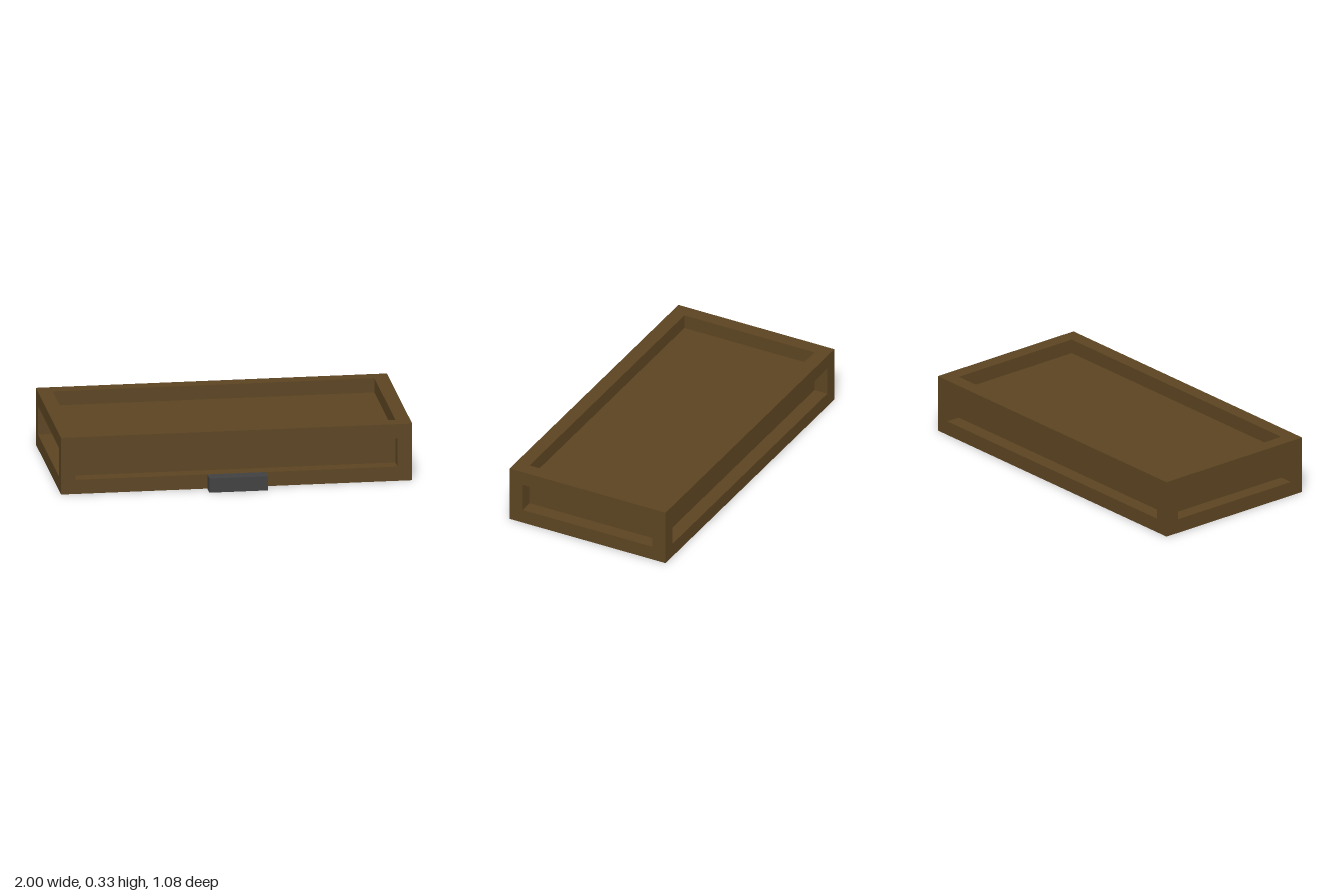
import * as THREE from 'three';

const U = 1 / 12; // thickness of every wall and beam
const W = 2, D = 1, H = 4 * U;

export function createModel() {
  const wood = new THREE.MeshStandardMaterial({ color: 0x5c4421 });
  wood.name = 'dark wood';
  const metal = new THREE.MeshStandardMaterial({ color: 0x404040 });
  metal.name = 'dark metal';

  const model = new THREE.Group();
  model.name = 'chestLid';
  const lid = new THREE.Group();
  lid.name = 'lid';
  lid.position.z = -U / 2;
  model.add(lid);

  function add(parent, name, geometry, material, x, y, z) {
    const mesh = new THREE.Mesh(geometry, material);
    mesh.name = name;
    mesh.position.set(x, y, z);
    parent.add(mesh);
  }

  const rectangle = (path, w, d) => path
    .moveTo(-w / 2, -d / 2).lineTo(w / 2, -d / 2)
    .lineTo(w / 2, d / 2).lineTo(-w / 2, d / 2).closePath();

  // Horizontal rectangular ring, inset from the outer size, with its base at y
  function addRing(name, inset, border, y) {
    const w = W - 2 * inset, d = D - 2 * inset;
    const shape = new THREE.Shape();
    rectangle(shape, w, d);
    const hole = new THREE.Path();
    rectangle(hole, w - 2 * border, d - 2 * border);
    shape.holes.push(hole);
    const geometry = new THREE.ExtrudeGeometry(shape, { depth: U, bevelEnabled: false });
    geometry.rotateX(-Math.PI / 2);
    add(lid, name, geometry, wood, 0, y, 0);
  }

  // Frames, from the underside up
  addRing('bottomFrame', 0, 2 * U, 0);
  addRing('innerWall', U, U, U);
  addRing('topFrame', 0, U, 3 * U);

  // Sunken top panel, also the ceiling of the hollow underside
  add(lid, 'topPanel', new THREE.BoxGeometry(W - 2 * U, U, D - 2 * U), wood, 0, 2.5 * U, 0);

  // Corner posts between the two frames
  for (const sx of [-1, 1]) {
    for (const sz of [-1, 1]) {
      add(lid, 'cornerPost', new THREE.BoxGeometry(U, H - 2 * U, U), wood,
        sx * (W - U) / 2, H / 2, sz * (D - U) / 2);
    }
  }

  // Latch on the front edge
  add(model, 'latch', new THREE.BoxGeometry(4 * U, U, U), metal, 0, U / 2, D / 2);

  return model;
}
